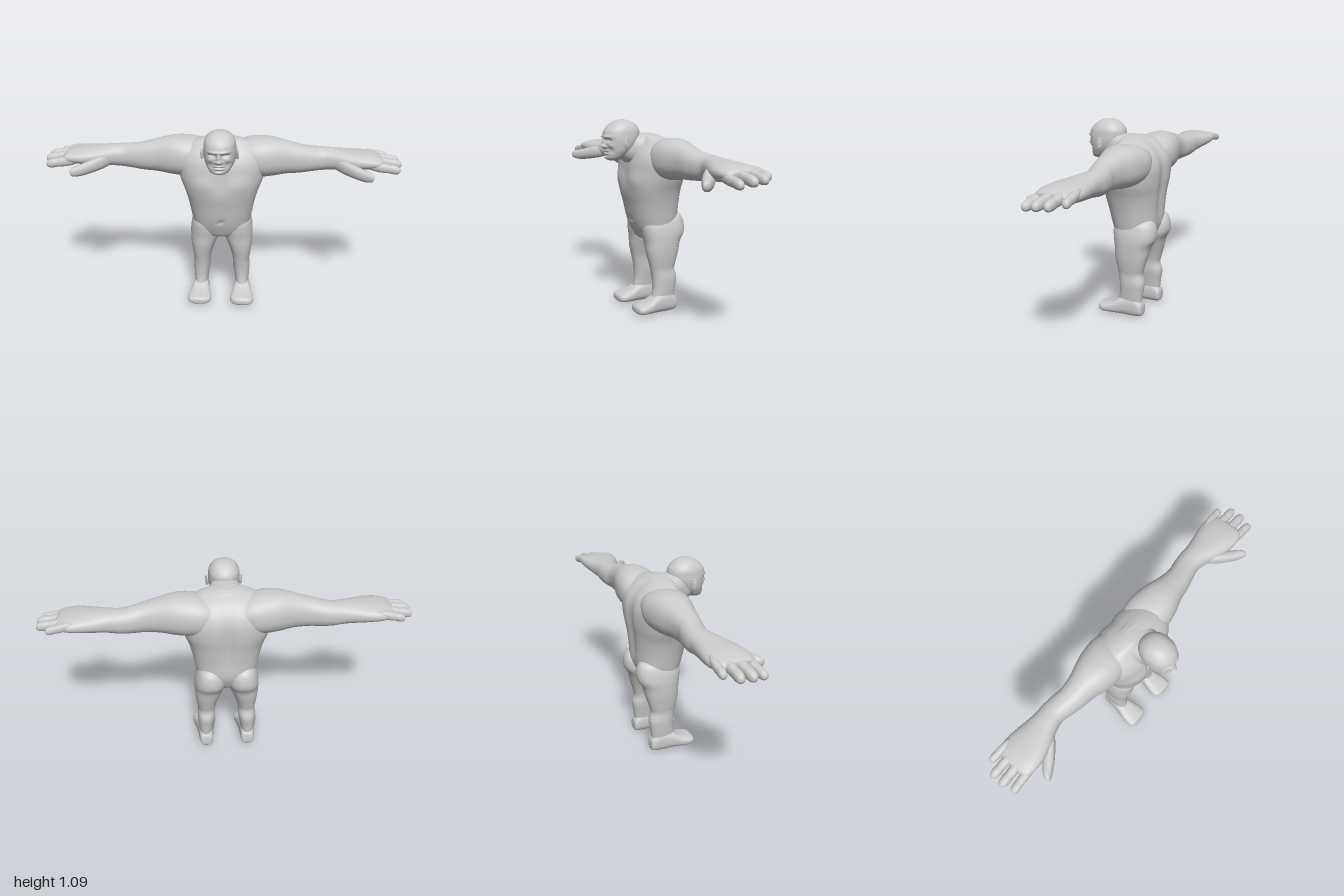
import * as THREE from 'three';

const material = new THREE.MeshStandardMaterial({ color: 0xcccccc, roughness: 0.8 });

// Puts a section point (a, b) at station t of the chosen axis.
function place(axis, t, a, b) {
  if (axis === 'x') return new THREE.Vector3(t, a, b);
  if (axis === 'y') return new THREE.Vector3(a, t, b);
  return new THREE.Vector3(a, b, t);
}

// Smooth closed loft. Each section is [station, aMin, aMax, bMin, bMax].
function loft(axis, sections, options) {
  const { sides = 40, steps = 6, power = 2.3, warp = null, mirror = false } = options;
  const times = sections.map((section, i) => i);
  const spline = new THREE.CubicInterpolant(times, sections.flat(), 5);
  const last = sections.length - 1;
  const rows = last * steps;
  const pts = [];
  const rounded = (v) => Math.sign(v) * Math.pow(Math.abs(v), 2 / power);
  for (let r = 0; r <= rows; r++) {
    const [t, a0, a1, b0, b1] = spline.evaluate(r / steps);
    for (let s = 0; s < sides; s++) {
      const u = (s / sides) * Math.PI * 2;
      const a = (a0 + a1) / 2 + (a1 - a0) / 2 * rounded(Math.cos(u));
      const b = (b0 + b1) / 2 + (b1 - b0) / 2 * rounded(Math.sin(u));
      pts.push(place(axis, t, a, b));
    }
  }
  // centres of the end caps
  const start = pts.length;
  for (const i of [0, last]) {
    const [t, a0, a1, b0, b1] = sections[i];
    pts.push(place(axis, t, (a0 + a1) / 2, (b0 + b1) / 2));
  }
  const index = [];
  for (let s = 0; s < sides; s++) {
    const n = (s + 1) % sides;
    for (let r = 0; r < rows; r++) {
      const i = r * sides;
      const j = i + sides;
      index.push(i + s, i + n, j + s, i + n, j + n, j + s);
    }
    const top = rows * sides;
    index.push(start, n, s, start + 1, top + s, top + n);
  }
  if (warp) pts.forEach(warp);
  const flip = mirror ? -1 : 1;
  for (const p of pts) p.x *= flip;
  // turn the faces outward, whichever the axis or mirroring
  let volume = 0;
  const cross = new THREE.Vector3();
  for (let i = 0; i < index.length; i += 3) {
    cross.crossVectors(pts[index[i + 1]], pts[index[i + 2]]);
    volume += cross.dot(pts[index[i]]);
  }
  if (volume < 0) index.reverse();
  const geometry = new THREE.BufferGeometry().setFromPoints(pts);
  geometry.setIndex(index);
  geometry.computeVertexNormals();
  return geometry;
}

function add(group, name, geometry) {
  const mesh = new THREE.Mesh(geometry, material);
  mesh.name = name;
  group.add(mesh);
  return mesh;
}

// Soft round hill of height 1 at (cx, cy).
function bump(x, y, cx, cy, sx, sy) {
  const dx = (x - cx) / sx;
  const dy = (y - cy) / sy;
  return Math.exp(-dx * dx - dy * dy);
}

// Chest muscles, navel and the groove of the spine.
function sculptTorso(p) {
  const x = Math.abs(p.x);
  if (p.z > -0.04) {
    p.z += 0.016 * bump(x, p.y, 0.1, 0.77, 0.08, 0.05);
    p.z -= 0.012 * bump(x, p.y, 0, 0.53, 0.012, 0.012);
  } else if (p.z < -0.12) {
    p.z += 0.018 * bump(x, p.y, 0, 0.78, 0.03, 0.22);
  }
}

// Face relief, the same on both sides: [x, y, width, height, depth].
// Sockets, eyes, brow, nose bridge, nose tip, nostrils, cheekbones,
// cheek hollows, upper lip, mouth, lower lip, hollow below it, chin.
const faceRelief = [
  [0.033, 0.984, 0.017, 0.009, -0.02],
  [0.032, 0.983, 0.009, 0.005, 0.009],
  [0.03, 1.002, 0.026, 0.007, 0.009],
  [0, 0.972, 0.009, 0.02, 0.016],
  [0, 0.951, 0.012, 0.01, 0.022],
  [0.014, 0.947, 0.008, 0.007, 0.008],
  [0.05, 0.955, 0.017, 0.014, 0.006],
  [0.045, 0.93, 0.014, 0.016, -0.007],
  [0, 0.925, 0.022, 0.005, 0.007],
  [0, 0.918, 0.025, 0.003, -0.009],
  [0, 0.91, 0.02, 0.005, 0.007],
  [0, 0.9, 0.02, 0.004, -0.006],
  [0, 0.887, 0.022, 0.009, 0.006]
];
function sculptFace(p) {
  if (p.z < 0.13) return;
  for (const [cx, cy, sx, sy, depth] of faceRelief) {
    p.z += depth * bump(Math.abs(p.x), p.y, cx, cy, sx, sy);
  }
}

const torso = [
  [0.405, -0.03, 0.03, -0.12, -0.04], [0.425, -0.1, 0.1, -0.16, 0],
  [0.47, -0.155, 0.155, -0.19, 0.025], [0.53, -0.17, 0.17, -0.212, 0.047],
  [0.62, -0.187, 0.187, -0.217, 0.067], [0.7, -0.208, 0.208, -0.224, 0.083],
  [0.78, -0.238, 0.238, -0.234, 0.076], [0.86, -0.25, 0.25, -0.234, 0.075],
  [0.92, -0.235, 0.235, -0.213, 0.055], [0.97, -0.19, 0.19, -0.168, 0.02],
  [1.0, -0.12, 0.12, -0.115, 0], [1.014, -0.05, 0.05, -0.08, -0.01]
];
const neck = [
  [-0.14, -0.1, 0.1, 0.82, 0.96], [-0.08, -0.125, 0.125, 0.81, 1.01],
  [0, -0.105, 0.105, 0.82, 1.018], [0.06, -0.08, 0.08, 0.845, 1.025],
  [0.11, -0.068, 0.068, 0.875, 1.01], [0.14, -0.045, 0.045, 0.9, 0.98]
];
const skull = [
  [0.871, -0.02, 0.02, 0.135, 0.18], [0.884, -0.05, 0.05, 0.105, 0.198],
  [0.92, -0.073, 0.073, 0.06, 0.203], [0.95, -0.083, 0.083, 0.03, 0.205],
  [0.98, -0.087, 0.087, 0.012, 0.21], [1.01, -0.086, 0.086, 0.003, 0.213],
  [1.04, -0.082, 0.082, 0.007, 0.203], [1.068, -0.066, 0.066, 0.028, 0.176],
  [1.086, -0.042, 0.042, 0.058, 0.147], [1.094, -0.012, 0.012, 0.092, 0.115]
];
const arm = [
  [0.06, 0.83, 0.96, -0.2, -0.02], [0.14, 0.785, 0.99, -0.22, 0.012],
  [0.21, 0.775, 1.0, -0.217, 0.022], [0.28, 0.78, 0.998, -0.203, 0.01],
  [0.36, 0.792, 0.98, -0.18, -0.015], [0.44, 0.797, 0.958, -0.172, -0.03],
  [0.5, 0.802, 0.945, -0.182, -0.045], [0.56, 0.807, 0.938, -0.188, -0.058],
  [0.62, 0.815, 0.935, -0.188, -0.045], [0.69, 0.822, 0.93, -0.197, -0.018],
  [0.76, 0.83, 0.926, -0.208, 0.003], [0.82, 0.838, 0.92, -0.21, 0.008],
  [0.87, 0.848, 0.908, -0.195, 0], [0.89, 0.862, 0.895, -0.165, -0.025]
];
const thumb = [
  [0.62, 0.835, 0.89, -0.11, -0.06], [0.67, 0.815, 0.89, -0.08, -0.01],
  [0.73, 0.803, 0.875, -0.04, 0.037], [0.78, 0.797, 0.862, 0, 0.068],
  [0.815, 0.802, 0.855, 0.033, 0.085], [0.828, 0.813, 0.845, 0.05, 0.082],
  [0.832, 0.825, 0.833, 0.063, 0.07]
];
const leg = [
  [0.58, 0.06, 0.12, -0.18, -0.1], [0.55, 0.03, 0.155, -0.219, -0.02],
  [0.51, 0.008, 0.172, -0.234, 0.015], [0.46, 0.004, 0.181, -0.232, 0.015],
  [0.41, 0.014, 0.182, -0.205, 0.006], [0.35, 0.038, 0.179, -0.19, 0],
  [0.29, 0.058, 0.171, -0.173, -0.013], [0.25, 0.065, 0.165, -0.165, -0.022],
  [0.2, 0.068, 0.168, -0.178, -0.03], [0.14, 0.077, 0.165, -0.17, -0.032],
  [0.09, 0.084, 0.161, -0.165, -0.025], [0.04, 0.084, 0.163, -0.165, -0.02]
];
const foot = [
  [-0.176, 0.105, 0.14, 0.025, 0.055], [-0.167, 0.086, 0.157, 0.007, 0.085],
  [-0.12, 0.08, 0.165, 0, 0.12], [-0.05, 0.073, 0.175, 0.002, 0.108],
  [0, 0.064, 0.187, 0.004, 0.08], [0.045, 0.057, 0.194, 0.007, 0.065],
  [0.075, 0.068, 0.186, 0.012, 0.058], [0.087, 0.1, 0.16, 0.022, 0.045]
];

// Fingers: [name, z, y, tip x, radius], and the swelling along each: [fraction, scale].
const fingers = [
  ['IndexFinger', -0.013, 0.845, 0.985, 0.023], ['MiddleFinger', -0.077, 0.857, 1.0, 0.025],
  ['RingFinger', -0.139, 0.862, 0.995, 0.024], ['LittleFinger', -0.196, 0.868, 0.94, 0.021]
];
const swelling = [[0, 0.7], [0.25, 1], [0.5, 1.02], [0.65, 0.94], [0.8, 0.98], [0.93, 0.8], [0.985, 0.42], [1, 0.1]];
function fingerSections(z, y, tip, radius) {
  return swelling.map(([f, scale]) => {
    const r = radius * scale;
    const cy = y + 0.025 * (1 - f);
    const cz = z - (0.1 + z) * 0.12 * (1 - f);
    return [0.8 + (tip - 0.8) * f, cy - r * 1.1, cy + r * 1.1, cz - r, cz + r];
  });
}

export function createModel() {
  const model = new THREE.Group();
  model.name = 'figure';
  add(model, 'torso', loft('y', torso, { sides: 72, steps: 8, warp: sculptTorso }));
  add(model, 'neck', loft('z', neck, {}));
  add(model, 'head', loft('y', skull, { sides: 96, steps: 9, power: 2.15, warp: sculptFace }));

  for (const side of [1, -1]) {
    const label = side > 0 ? 'left' : 'right';
    const mirror = side < 0;
    add(model, label + 'Arm', loft('x', arm, { sides: 48, mirror }));
    add(model, label + 'Thumb', loft('x', thumb, { sides: 24, mirror }));
    add(model, label + 'Leg', loft('y', leg, { mirror }));
    add(model, label + 'Foot', loft('z', foot, { power: 2.6, mirror }));
    for (const [name, z, y, tip, radius] of fingers) {
      const sections = fingerSections(z, y, tip, radius);
      add(model, label + name, loft('x', sections, { sides: 20, steps: 4, mirror }));
    }

    // ear: a rim around a shallow shell
    const ear = new THREE.Group();
    ear.name = label + 'Ear';
    add(ear, 'earRim', new THREE.TorusGeometry(0.015, 0.005, 10, 28)).scale.set(0.8, 1.5, 1);
    add(ear, 'earShell', new THREE.SphereGeometry(0.015, 20, 14)).scale.set(0.8, 1.5, 0.4);
    ear.position.set(side * 0.093, 0.968, 0.115);
    ear.rotation.y = side * (Math.PI / 2 + 0.45);
    model.add(ear);
  }
  return model;
}
